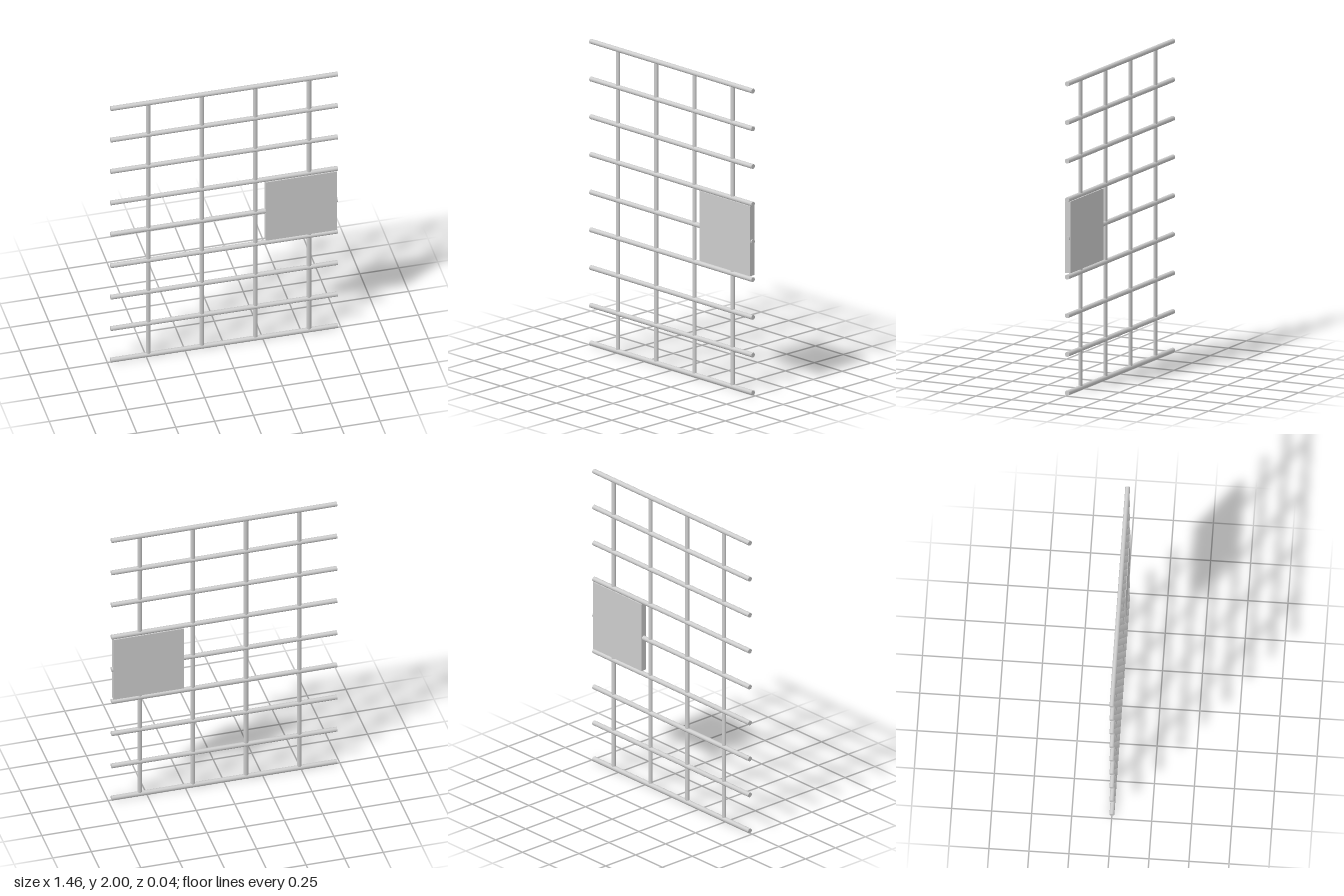
import * as THREE from 'three';

export function createModel() {
  const group = new THREE.Group();
  const material = new THREE.MeshStandardMaterial({ color: 0xcccccc });
  const add = (name, geometry, x, y, z = 0) => {
    const mesh = new THREE.Mesh(geometry, material);
    mesh.name = name;
    mesh.position.set(x, y, z);
    group.add(mesh);
  };

  // Nine horizontal round bars, evenly spaced
  const radius = 0.0155;
  const rail = new THREE.CylinderGeometry(radius, radius, 1.46, 20).rotateZ(Math.PI / 2);
  const step = (2 - 2 * radius) / 8;
  for (let i = 0; i < 9; i++) add(`horizontalBar${i + 1}`, rail, 0, radius + i * step);

  // Four slightly flattened upright bars, offset to one side
  const upright = new THREE.CylinderGeometry(0.015, 0.015, 1.97, 20).scale(1, 1, 0.75);
  for (let i = 0; i < 4; i++) add(`verticalBar${i + 1}`, upright, -0.487 + i * 0.3443, 1);

  // Lock plate filling the gap between two rails
  add('lockPlate', new THREE.BoxGeometry(0.456, 0.456, 0.037), 0.493, 1.006);

  return group;
}
